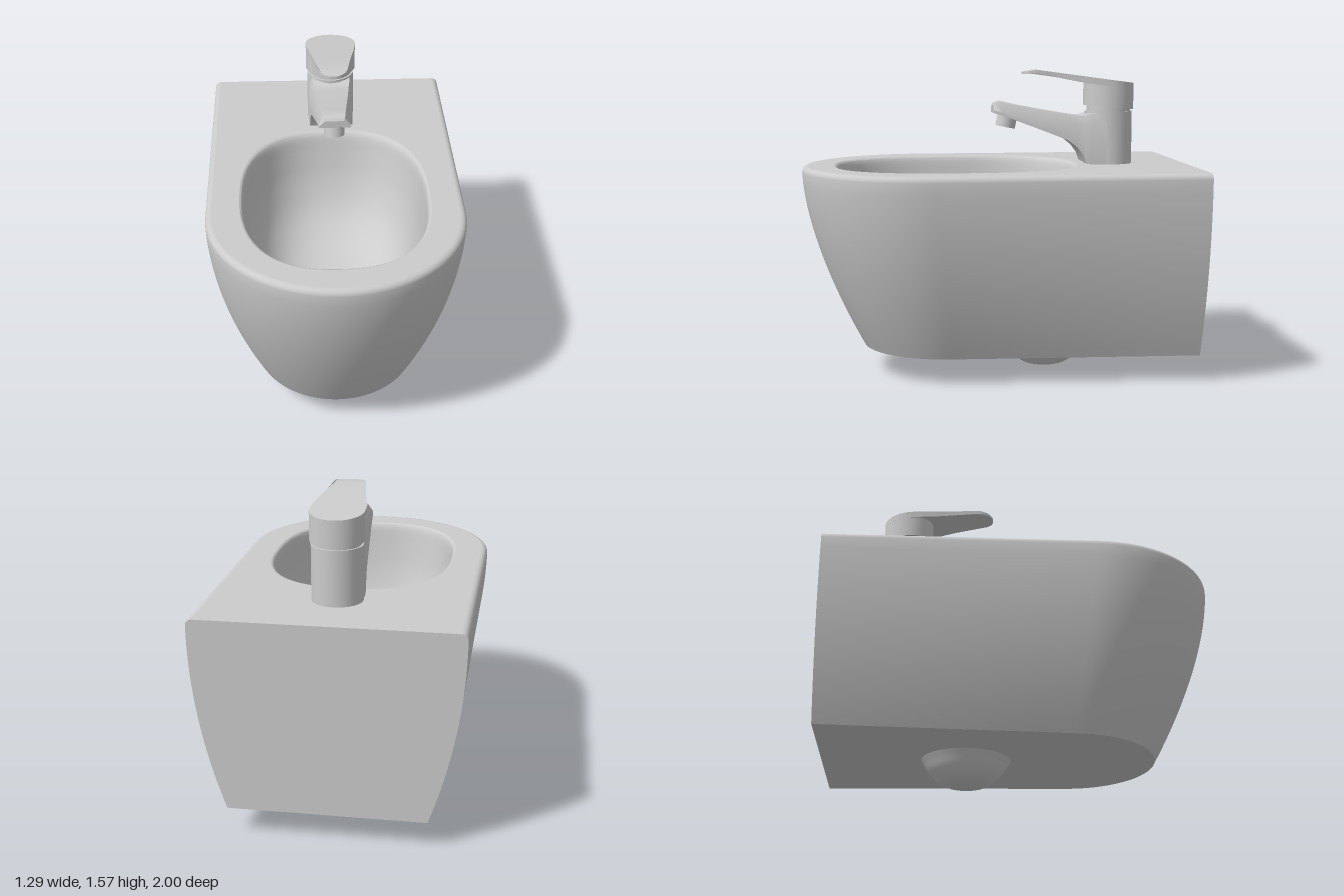
import * as THREE from 'three';
import { toCreasedNormals } from 'three/addons/utils/BufferGeometryUtils.js';

const material = new THREE.MeshStandardMaterial({ color: 0xcccccc });

function add(parent, name, geometry, x = 0, y = 0, z = 0) {
  const mesh = new THREE.Mesh(geometry, material);
  mesh.name = name;
  mesh.position.set(x, y, z);
  parent.add(mesh);
  return mesh;
}

// Skin a row of closed loops (each an array of [x, y, z])
function loft(loops, crease = 0.6) {
  const n = loops[0].length, index = [];
  for (let i = 0; i < loops.length - 1; i++) {
    for (let j = 0; j < n; j++) {
      const k = (j + 1) % n;
      const a = i * n + j, b = i * n + k, c = a + n, d = b + n;
      index.push(a, b, d, a, d, c);
    }
  }
  const g = new THREE.BufferGeometry();
  g.setAttribute('position', new THREE.Float32BufferAttribute(loops.flat(2), 3));
  g.setIndex(index);
  return toCreasedNormals(g, crease);
}

const BOTTOM = 0.135, TOP = 1.08, FILLET = 0.03;

// D-shaped outline: square at the wall, round at the front
function outerLoop(y, inset = 0) {
  const t = Math.min(1, (y - BOTTOM) / (TOP - FILLET - BOTTOM)), s = 1 - t;
  const back = 0.645 - 0.165 * s * s - inset;
  const side = back - 0.06 * Math.pow(s, 1.5);
  const zc = 0.36 - 0.11 * s;
  const front = 1 - 0.31 * Math.pow(s, 1.6) - inset;
  const pts = [], straight = 6, arc = 48;
  const edge = (k) => [back + (side - back) * k, -1 + (zc + 1) * k];
  for (let i = 0; i < straight; i++) {
    const [x, z] = edge(i / straight);
    pts.push([-x, y, z]);
  }
  for (let i = 0; i <= arc; i++) {
    const a = -Math.PI / 2 + Math.PI * i / arc;
    pts.push([Math.sin(a) * side, y, zc + Math.cos(a) * (front - zc)]);
  }
  for (let i = straight - 1; i >= 0; i--) {
    const [x, z] = edge(i / straight);
    pts.push([x, y, z]);
  }
  return pts;
}

// Bowl outline: a superellipse that shrinks to a circle round the drain
function bowlLoop(r, y) {
  const k = Math.max(0, (r - 0.2) / 0.8);
  const rx = k > 0 ? 0.115 + 0.365 * k : 0.115 * r / 0.2;
  const rz = k > 0 ? 0.115 + 0.52 * k : rx;
  const cz = 0.27 - 0.07 * k, p = 2 / (2 + 0.5 * k);
  const bend = (v) => Math.sign(v) * Math.pow(Math.abs(v), p);
  return Array.from({ length: 72 }, (_, i) => {
    const a = i / 72 * Math.PI * 2;
    return [bend(Math.sin(a)) * rx, y, cz + bend(Math.cos(a)) * rz];
  });
}

function buildBasin() {
  const basin = new THREE.Group();
  basin.name = 'basin';

  // Outer shell with closed underside and rounded top edge
  const loops = [outerLoop(BOTTOM).map(() => [0, BOTTOM, -0.2])];
  for (let i = 0; i <= 16; i++) loops.push(outerLoop(BOTTOM + (TOP - FILLET - BOTTOM) * i / 16));
  for (let i = 1; i <= 5; i++) {
    const a = i / 5 * Math.PI / 2;
    loops.push(outerLoop(TOP - FILLET * (1 - Math.sin(a)), FILLET * (1 - Math.cos(a))));
  }
  add(basin, 'shell', loft(loops));

  // Flat wall side
  const half = loops.slice(1).map((l) => l[0]);
  const wall = new THREE.Shape([
    ...half.map(([x, y]) => new THREE.Vector2(-x, y)),
    ...half.map(([x, y]) => new THREE.Vector2(x, y)).reverse(),
  ]);
  add(basin, 'wallFace', new THREE.ShapeGeometry(wall).rotateY(Math.PI), 0, 0, -0.9995);

  // Flat top round the opening
  const flat = (loop) => loop.map(([x, , z]) => new THREE.Vector2(x, -z));
  const top = new THREE.Shape(flat(loops[loops.length - 1]));
  top.holes.push(new THREE.Path(flat(bowlLoop(1, TOP))));
  add(basin, 'topFace', new THREE.ShapeGeometry(top).rotateX(-Math.PI / 2), 0, TOP, 0);

  // Bowl from the rounded rim down to the drain
  const profile = new THREE.SplineCurve([
    [1, 1.08], [0.975, 1.072], [0.955, 1.04], [0.93, 0.95], [0.88, 0.81],
    [0.78, 0.66], [0.62, 0.55], [0.42, 0.485], [0.2, 0.45],
  ].map(([r, y]) => new THREE.Vector2(r, y)));
  const rings = profile.getPoints(32).map((p) => bowlLoop(p.x, p.y));
  rings.push(bowlLoop(0.14, 0.425), bowlLoop(0.14, 0.37), bowlLoop(0, 0.37));
  add(basin, 'bowl', loft(rings, 0.7));

  // Rounded bulge under the basin
  const bulge = new THREE.SplineCurve([
    [0, 0], [0.08, 0.002], [0.13, 0.02], [0.18, 0.065], [0.21, 0.11], [0.23, 0.14],
  ].map(([r, y]) => new THREE.Vector2(r, y)));
  const outlet = add(basin, 'outletBulge', new THREE.LatheGeometry(bulge.getPoints(20), 40), 0.005, 0, -0.27);
  outlet.scale.x = 0.88;
  return basin;
}

// Height of the sloping lever top; the tip dips slightly
const leverTop = (z) => 1.5 + 0.135 * (Math.min(z, -0.22) + 0.74) - Math.max(0, z + 0.22) * 0.15;

function buildTap() {
  const tap = new THREE.Group();
  tap.name = 'tap';
  tap.position.x = 0.008;
  const Z = -0.607;

  add(tap, 'tapBody', new THREE.CylinderGeometry(0.125, 0.125, 0.28, 40), 0, 1.215, Z);
  add(tap, 'neck', new THREE.CylinderGeometry(0.115, 0.115, 0.06, 40), 0, 1.37, Z);

  // Cap with a sloping top
  const cap = new THREE.CylinderGeometry(0.132, 0.132, 1, 40);
  const cp = cap.attributes.position;
  for (let i = 0; i < cp.count; i++) {
    cp.setY(i, cp.getY(i) > 0 ? leverTop(cp.getZ(i) + Z) - 0.01 : 1.375 + cp.getZ(i) * 0.08);
  }
  cap.computeVertexNormals();
  add(tap, 'cap', cap, 0, 0, Z);

  // Lever plate: round over the cap, tapering to a rounded tip
  const shape = new THREE.Shape();
  shape.absarc(0, 0, 0.132, 0, Math.PI, true);
  shape.bezierCurveTo(-0.13, 0.1, -0.1, 0.2, -0.078, 0.38);
  shape.bezierCurveTo(-0.07, 0.49, 0.07, 0.49, 0.078, 0.38);
  shape.bezierCurveTo(0.1, 0.2, 0.13, 0.1, 0.132, 0);
  const lever = new THREE.ExtrudeGeometry(shape, { depth: 1, bevelEnabled: false, curveSegments: 24 });
  lever.rotateX(Math.PI / 2);
  const lp = lever.attributes.position;
  for (let i = 0; i < lp.count; i++) {
    const z = lp.getZ(i) + Z;
    const thick = 0.012 + 0.022 * THREE.MathUtils.clamp((-0.14 - z) / 0.34, 0, 1);
    lp.setY(i, leverTop(z) - (lp.getY(i) < -0.5 ? thick : 0));
  }
  add(tap, 'lever', toCreasedNormals(lever, 0.6), 0, 0, Z);

  // Spout sections, back to front: z, top half width, half width, top, shoulder, underside
  const sections = [
    [-0.6, 0.105, 0.122, 1.35, 1.29, 1.08],
    [-0.5, 0.1, 0.118, 1.345, 1.29, 1.08],
    [-0.472, 0.095, 0.116, 1.335, 1.285, 1.085],
    [-0.455, 0.093, 0.114, 1.332, 1.282, 1.13],
    [-0.425, 0.09, 0.112, 1.333, 1.282, 1.17],
    [-0.38, 0.087, 0.109, 1.34, 1.287, 1.205],
    [-0.28, 0.078, 0.101, 1.357, 1.302, 1.245],
    [-0.12, 0.063, 0.088, 1.387, 1.33, 1.305],
    [-0.03, 0.055, 0.082, 1.408, 1.355, 1.338],
    [0, 0.052, 0.08, 1.4, 1.36, 1.345],
    [0.008, 0.046, 0.076, 1.388, 1.362, 1.35],
  ];
  const loops = sections.map(([z, t, w, yt, ym, yb]) => [
    [w, yb, z], [w, ym, z], [t, yt, z], [-t, yt, z], [-w, ym, z], [-w, yb, z],
  ]);
  loops.push(loops[0].map(() => [0, 1.37, 0.008]));
  add(tap, 'spout', loft(loops, 0.5));

  // Nozzle under the tip
  const nozzle = add(tap, 'nozzle', new THREE.CylinderGeometry(0.052, 0.052, 0.07, 32), 0, 1.308, -0.065);
  nozzle.rotation.x = -0.2;
  return tap;
}

export function createModel() {
  const model = new THREE.Group();
  model.name = 'bidet';
  model.add(buildBasin(), buildTap());
  return model;
}
